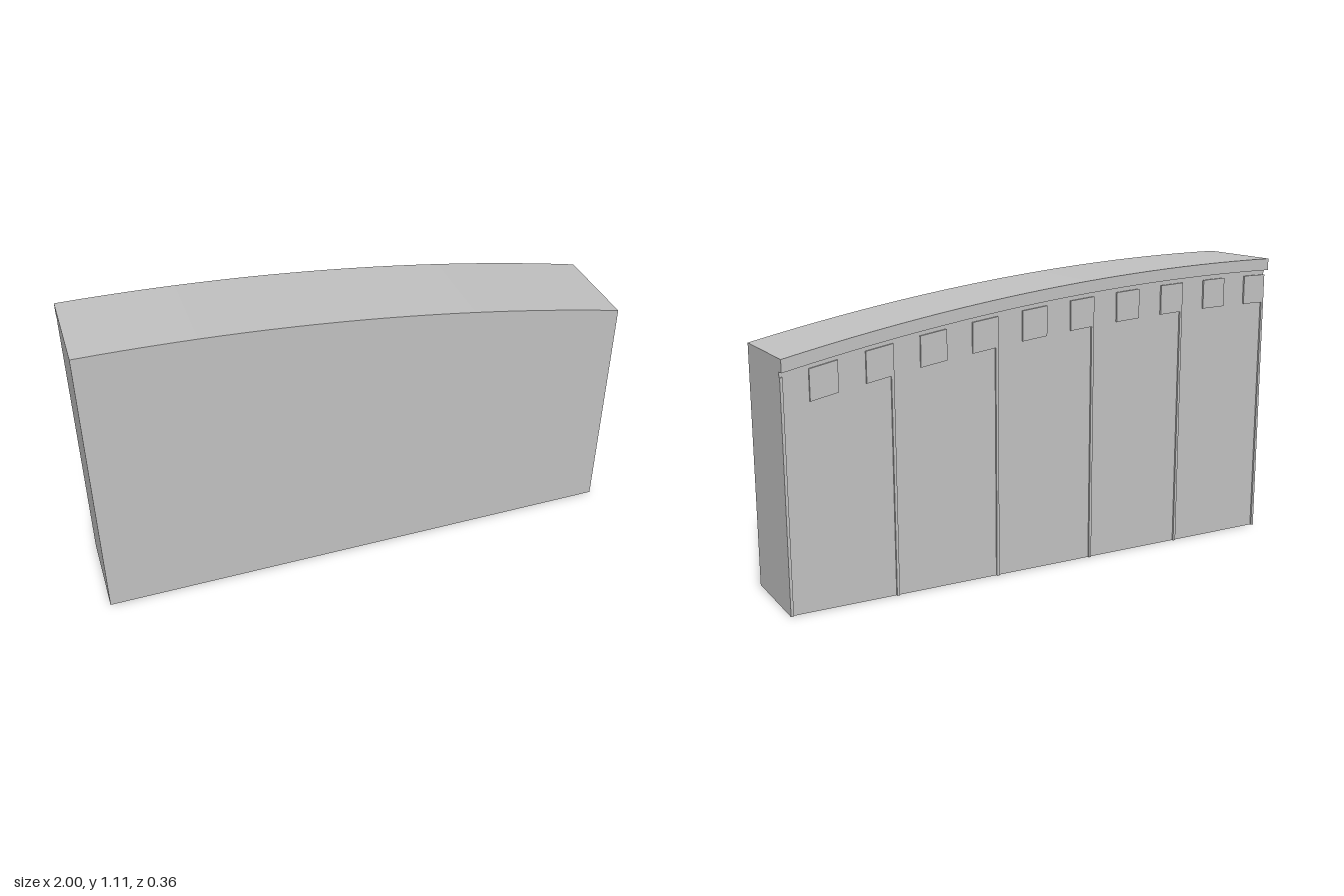
import * as THREE from 'three';

const R = 9.2, TOP = 1.11;
// Arched top line: highest at x = -1, falling towards x = +1
const crown = (x) => TOP - R + Math.sqrt(R * R - (x + 1) ** 2);

// Slab between x0 and x1: its top lies `drop` under the crown line;
// its bottom lies `base` under that line, or on the ground if base is null
function slab(x0, x1, drop, base, zBack, zFront) {
  const n = Math.max(1, Math.round((x1 - x0) * 12));
  const shape = new THREE.Shape();
  const xs = Array.from({ length: n + 1 }, (_, i) => x0 + ((x1 - x0) * i) / n);
  const low = (x) => (base === null ? 0 : crown(x) - base);
  if (base === null) {
    shape.moveTo(x0, 0);
    shape.lineTo(x1, 0);
  } else {
    xs.forEach((x, i) => (i ? shape.lineTo(x, low(x)) : shape.moveTo(x, low(x))));
  }
  xs.reverse().forEach((x) => shape.lineTo(x, crown(x) - drop));
  const geo = new THREE.ExtrudeGeometry(shape, { depth: zFront - zBack, bevelEnabled: false });
  return geo.translate(0, 0, zBack);
}

export function createModel() {
  const model = new THREE.Group();
  model.name = 'archedWall';
  const stone = new THREE.MeshStandardMaterial({ color: 0xc0c0c0 });
  stone.name = 'grey stone';

  const add = (name, geo) => {
    const mesh = new THREE.Mesh(geo, stone);
    mesh.name = name;
    model.add(mesh);
  };

  const WALL = -0.153, RELIEF = -0.16;

  // Main wall and the coping that overhangs it at the back
  add('wall', slab(-1, 1, 0.045, null, WALL, 0.18));
  add('coping', slab(-1, 1, 0, 0.045, -0.18, 0.18));

  // Row of shallow blocks below the coping
  for (let i = 0; i < 10; i++) {
    const x = -1 + i * 0.2;
    add('block' + (i + 1), slab(x, x + 0.1, 0.065, 0.175, RELIEF, WALL));
  }

  // Thin upright ribs dividing the back into five panels
  for (let i = 0; i < 6; i++) {
    const x = Math.min(-1 + i * 0.4, 0.99);
    add('rib' + (i + 1), slab(x, x + 0.01, 0.065, null, RELIEF, WALL));
  }
  return model;
}
